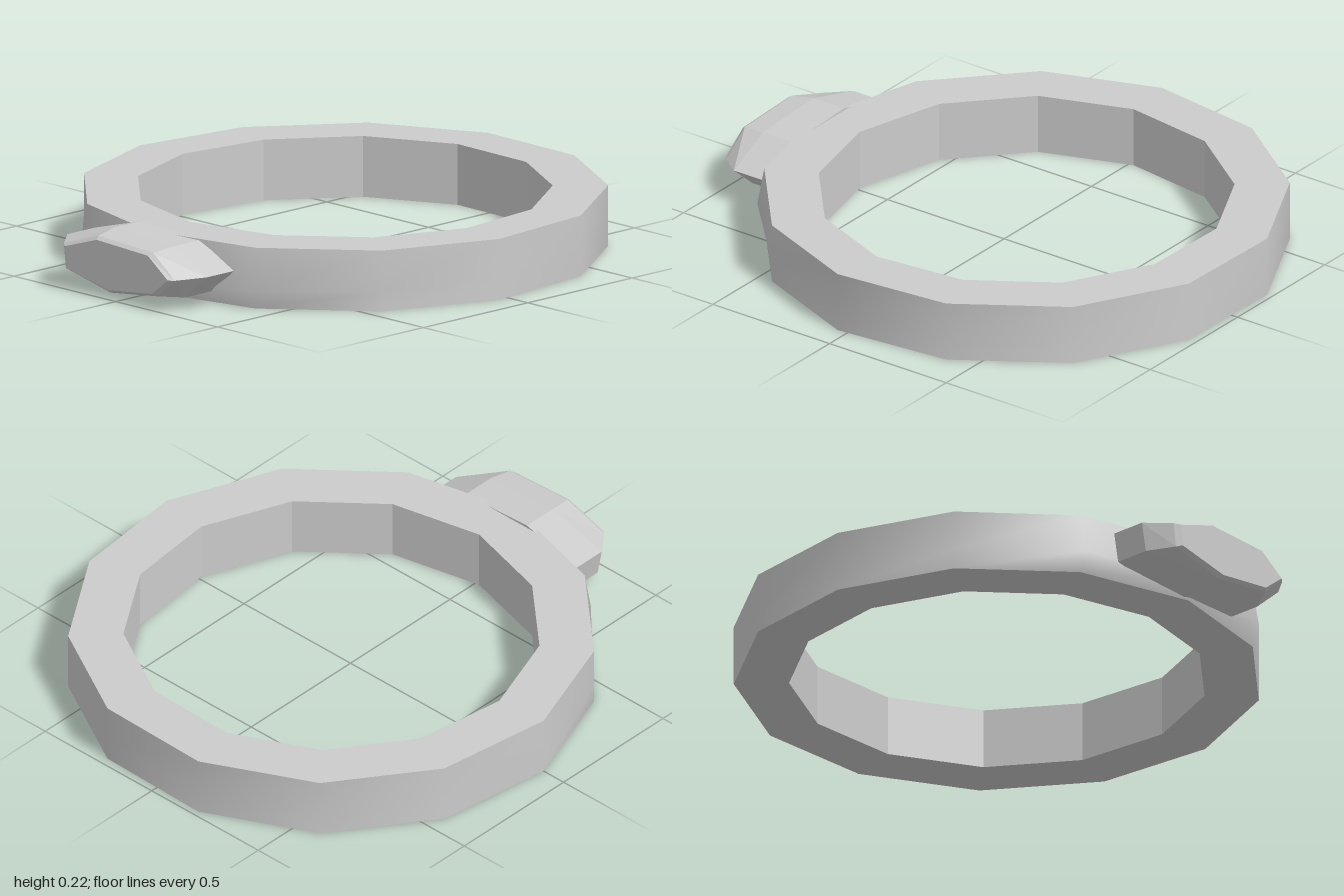
import * as THREE from 'three';
import { mergeVertices } from 'three/addons/utils/BufferGeometryUtils.js';

const SIDES = 13, OUTER = 0.91, INNER = 0.72, HEIGHT = 0.215, CENTRE_Z = -0.09;
// one corner sits almost exactly at the front
const START = (6 * 2 * Math.PI) / SIDES - 0.022;

const smooth = () => new THREE.MeshStandardMaterial({ color: 0xcccccc });
const flat = (side = THREE.FrontSide) =>
  new THREE.MeshStandardMaterial({ color: 0xcccccc, flatShading: true, side });

function add(parent, name, geometry, material) {
  const mesh = new THREE.Mesh(geometry, material);
  mesh.name = name;
  parent.add(mesh);
  return mesh;
}

// Smooth outer wall, swelling a little low on the front below the stone
function outerWallGeometry() {
  let g = new THREE.CylinderGeometry(OUTER, OUTER, HEIGHT, SIDES, 2, true, START, Math.PI * 2);
  const p = g.attributes.position;
  for (let i = 0; i < p.count; i++) {
    if (Math.abs(p.getY(i)) > 0.01) continue;
    p.setY(i, 0.07 - HEIGHT / 2);
    if (p.getZ(i) > OUTER * 0.85) p.setZ(i, p.getZ(i) + 0.03);
  }
  g.deleteAttribute('uv');
  g.deleteAttribute('normal');
  g = mergeVertices(g, 1e-4);
  g.computeVertexNormals();
  return g;
}

// Faceted stone: one irregular outline repeated at several depths
function stoneGeometry() {
  const girdle = [[-0.34, 0.16], [-0.11, 0.225], [0.18, 0.21], [0.345, 0.13],
    [0.24, 0.04], [-0.04, 0.008], [-0.32, 0.06]];
  const table = [[-0.27, 0.155], [-0.1, 0.213], [0.17, 0.2], [0.275, 0.12],
    [0.19, 0.05], [-0.04, 0.022], [-0.26, 0.07]];
  const inset = table.map(([x, y]) => [x * 0.93, 0.12 + (y - 0.12) * 0.88]);
  const loops = [[girdle, 0.77], [girdle, 0.9], [table, 0.985], [inset, 1]];
  const n = girdle.length, verts = [], index = [];
  for (const [loop, z] of loops) for (const [x, y] of loop) verts.push(x, y, z);
  for (let k = 0; k < loops.length - 1; k++) {
    for (let i = 0; i < n; i++) {
      const a = k * n + i, b = k * n + (i + 1) % n;
      index.push(a, a + n, b, b, a + n, b + n);
    }
  }
  const last = (loops.length - 1) * n;
  for (let i = 1; i < n - 1; i++) {
    index.push(last, last + i + 1, last + i); // front table
    index.push(0, i, i + 1); // back
  }
  const g = new THREE.BufferGeometry();
  g.setAttribute('position', new THREE.Float32BufferAttribute(verts, 3));
  g.setIndex(index);
  const out = g.toNonIndexed();
  out.computeVertexNormals();
  return out;
}

export function createModel() {
  const model = new THREE.Group();
  model.name = 'ring';

  const band = new THREE.Group();
  band.name = 'band';
  band.position.z = CENTRE_Z;
  model.add(band);

  add(band, 'outerWall', outerWallGeometry(), smooth()).position.y = HEIGHT / 2;

  const inner = new THREE.CylinderGeometry(INNER, INNER, HEIGHT, SIDES, 1, true, START, Math.PI * 2);
  add(band, 'innerWall', inner, flat(THREE.BackSide)).position.y = HEIGHT / 2;

  // Flat annular faces above and below
  const top = new THREE.RingGeometry(INNER, OUTER, SIDES, 1, START - Math.PI / 2, Math.PI * 2);
  add(band, 'topFace', top.rotateX(-Math.PI / 2), flat()).position.y = HEIGHT;
  const bottom = new THREE.RingGeometry(INNER, OUTER, SIDES, 1, Math.PI / 2 - START, Math.PI * 2);
  add(band, 'bottomFace', bottom.rotateX(Math.PI / 2), flat());

  add(model, 'stone', stoneGeometry(), flat());
  return model;
}
